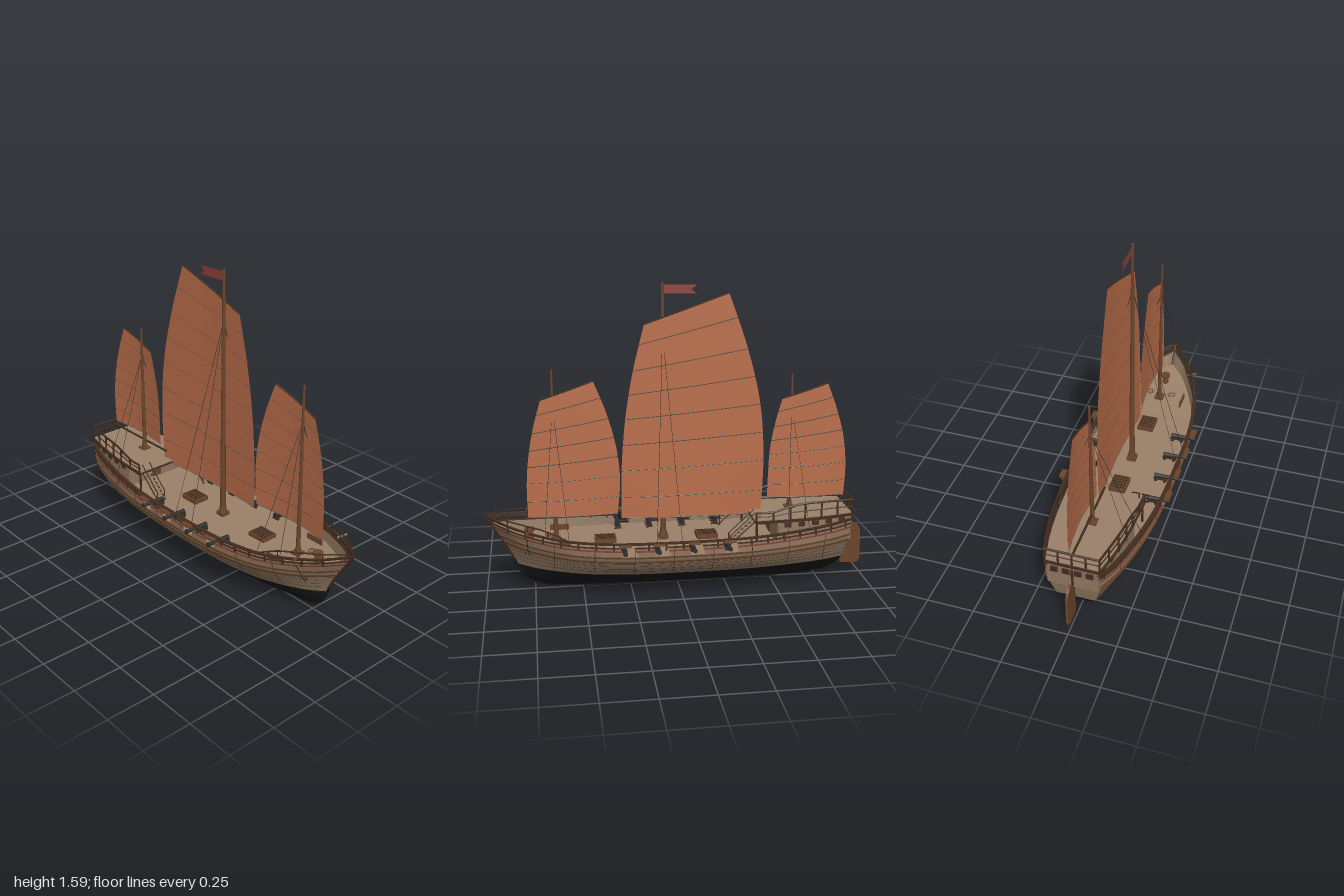
import * as THREE from 'three';

const mat = (name, color) => {
  const m = new THREE.MeshStandardMaterial({ color, side: THREE.DoubleSide });
  m.name = name;
  return m;
};
const V = (x, y, z) => new THREE.Vector3(x, y, z);

// Smooth interpolation through [t, value] pairs
function table(p) {
  const slope = i => {
    const a = p[Math.max(i - 1, 0)], b = p[Math.min(i + 1, p.length - 1)];
    return (b[1] - a[1]) / (b[0] - a[0]);
  };
  return t => {
    t = THREE.MathUtils.clamp(t, p[0][0], p[p.length - 1][0]);
    let i = 0;
    while (i < p.length - 2 && t > p[i + 1][0]) i++;
    const h = p[i + 1][0] - p[i][0], u = (t - p[i][0]) / h, w = 1 - u;
    return p[i][1] * w * w * (1 + 2 * u) + p[i + 1][1] * u * u * (3 - 2 * u)
      + h * u * w * (w * slope(i) - u * slope(i + 1));
  };
}

// Hull form: plan outline and sheer by z, then width and ends by height
const S = z => (z + 0.91) / 1.9;
const plan = table([[-0.91, 0.49], [-0.8, 0.66], [-0.6, 0.83], [-0.4, 0.94], [-0.2, 0.99], [0, 1], [0.2, 1],
  [0.4, 0.95], [0.6, 0.82], [0.7, 0.69], [0.8, 0.52], [0.9, 0.3], [0.99, 0]].map(([z, v]) => [S(z), v]));
const lift = table([[-0.91, 0.035], [-0.6, 0.012], [-0.3, 0.001], [0.2, 0], [0.4, 0.004], [0.6, 0.017],
  [0.8, 0.047], [0.99, 0.092]].map(([z, v]) => [S(z), v]));
const width = table([[0.01, 0], [0.02, 0.032], [0.03, 0.056], [0.06, 0.112], [0.1, 0.166], [0.13, 0.199],
  [0.19, 0.245], [0.25, 0.27], [0.32, 0.27]]);
const sternZ = table([[0.01, -0.54], [0.02, -0.66], [0.03, -0.72], [0.06, -0.8], [0.1, -0.85], [0.13, -0.87],
  [0.19, -0.885], [0.25, -0.9], [0.32, -0.91]]);
const bowZ = table([[0.01, 0.5], [0.02, 0.65], [0.03, 0.72], [0.06, 0.79], [0.1, 0.825], [0.13, 0.84],
  [0.19, 0.88], [0.25, 0.93], [0.32, 0.99]]);
const hullPoint = (s, y, side = 1, out = 0) => V(
  side * Math.max(0, width(y) * plan(s) + out),
  y + lift(s) * THREE.MathUtils.clamp((y - 0.08) / 0.24, 0, 1.2),
  THREE.MathUtils.lerp(sternZ(y), bowZ(y), s));
const atZ = (z, y, side = 1, out = 0) => hullPoint((z - sternZ(y)) / (bowZ(y) - sternZ(y)), y, side, out);

// Surface from a point rule fn(u, v)
function grid(nu, nv, fn, flat = false) {
  const pos = [], idx = [];
  for (let j = 0; j <= nv; j++) for (let i = 0; i <= nu; i++) pos.push(...fn(i / nu, j / nv).toArray());
  for (let j = 0; j < nv; j++) for (let i = 0; i < nu; i++) {
    const a = j * (nu + 1) + i, b = a + nu + 1;
    idx.push(a, a + 1, b, b, a + 1, b + 1);
  }
  let g = new THREE.BufferGeometry();
  g.setAttribute('position', new THREE.Float32BufferAttribute(pos, 3));
  g.setIndex(idx);
  if (flat) g = g.toNonIndexed();
  g.computeVertexNormals();
  return g;
}

export function createModel() {
  const root = new THREE.Group();
  const M = {
    hull: mat('hull wood', 0x8f7760), deck: mat('deck wood', 0x9a8069), trim: mat('dark trim', 0x432d1f),
    brown: mat('brown timber', 0x6b452b), black: mat('black bottom', 0x161616), sail: mat('sailcloth', 0xb96d4a),
    flag: mat('flag red', 0x90403a), iron: mat('iron', 0x2b2e2e), batten: mat('batten grey', 0x47524f),
    stripe: mat('red stripe', 0x84402f),
  };
  const add = (name, geo, m) => {
    const mesh = new THREE.Mesh(geo, m);
    mesh.name = name;
    root.add(mesh);
    return mesh;
  };
  const box = (name, w, h, d, x, y, z, m) => {
    const b = add(name, new THREE.BoxGeometry(w, h, d), m);
    b.position.set(x, y, z);
    return b;
  };
  // Round bar between two points
  const bar = (name, a, b, r, m, r2 = r, sides = 6) => {
    const c = add(name, new THREE.CylinderGeometry(r2, r, a.distanceTo(b), sides), m);
    c.position.copy(a).lerp(b, 0.5);
    c.quaternion.setFromUnitVectors(V(0, 1, 0), b.clone().sub(a).normalize());
    return c;
  };
  const tube = (name, pts, r, m, n = 40) =>
    add(name, new THREE.TubeGeometry(new THREE.CatmullRomCurve3(pts), n, r, 6), m);
  // Rectangular strake that follows the hull on both sides
  const band = (name, y0, y1, inner, outer, m, s0 = 0, s1 = 1, n = 56) => {
    const ring = [[y0, inner], [y0, outer], [y1, outer], [y1, inner], [y0, inner]];
    for (const side of [-1, 1]) add(name, grid(n, 4, (u, v) => {
      const [y, o] = ring[Math.round(v * 4)];
      return hullPoint(s0 + (s1 - s0) * u, y, side, o);
    }, true), m);
  };

  // Hull shell, transom, deck
  for (const side of [-1, 1]) {
    add('hullBottom', grid(64, 14, (u, v) => hullPoint(u, 0.01 + 0.118 * v, side)), M.black);
    add('hullSide', grid(64, 8, (u, v) => hullPoint(u, 0.128 + 0.12 * v, side)), M.hull);
  }
  const across = (y0, y1) => grid(2, 8, (u, v) => {
    const p = hullPoint(0, y0 + (y1 - y0) * v);
    p.x *= 2 * u - 1;
    return p;
  });
  add('transomBottom', across(0.01, 0.128), M.black);
  add('transom', across(0.128, 0.32), M.hull);
  add('mainDeck', grid(64, 2, (u, v) => hullPoint(u, 0.246).multiply(V(2 * v - 1, 1, 1))), M.deck);
  box('keel', 0.014, 0.01, 1.04, 0, 0.007, -0.02, M.black);
  const stem = [0.02, 0.04, 0.07, 0.1, 0.15, 0.2, 0.25, 0.29, 0.32].map(y => hullPoint(1, y));
  tube('stemLower', stem.slice(0, 5), 0.006, M.black);
  tube('stemPost', [...stem.slice(4), V(0, 0.43, 0.992)], 0.008, M.trim);

  // Wales, plank seams and cap rail
  for (const y of [0.15, 0.17, 0.19, 0.203]) band('plankSeam', y, y + 0.0013, -0.001, 0.001, M.trim);
  band('lowerWale', 0.213, 0.222, -0.003, 0.007, M.brown);
  band('upperWale', 0.24, 0.248, -0.003, 0.007, M.brown);
  band('capRail', 0.314, 0.322, -0.012, 0.008, M.trim);

  // Bulwark planks with gun ports left open
  const ports = [0.3, 0.13, -0.05, -0.23], half = 0.036;
  const edges = [-0.905, ...ports.slice().reverse().flatMap(z => [z - half, z + half]), 0.965];
  for (let i = 0; i < edges.length; i += 2) {
    const a = Math.max(0, S(edges[i])), b = i + 2 >= edges.length ? 1 : S(edges[i + 1]);
    band('bulwark', 0.248, 0.298, -0.006, 0, M.hull, a, b, 20);
    band('bulwarkStripe', 0.276, 0.283, -0.002, 0.004, M.stripe, a, b, 20);
    band('bulwarkEdge', 0.294, 0.299, -0.007, 0.004, M.trim, a, b, 20);
  }
  for (const side of [-1, 1]) {
    for (let z = -0.87; z < 0.93; z += 0.0875) {
      if (ports.some(p => Math.abs(p - z) < half)) continue;
      const p = atZ(z, 0.305, side, -0.003);
      box('bulwarkPost', 0.008, 0.04, 0.01, p.x, p.y - 0.005, z, M.trim);
    }
    for (let z = -0.75; z < 0.85; z += 0.2)
      tube('hullRib', [0.14, 0.18, 0.22, 0.25, 0.3].map(y => atZ(z, y, side, 0.001)), 0.0015, M.trim, 8);
    // Bow rail
    const rail = [0.58, 0.68, 0.78, 0.88, 0.96].map((z, i) => atZ(z, 0.315, side, -0.005).add(V(0, [0.005, 0.035, 0.038, 0.03, 0.02][i], 0)));
    tube('bowRail', rail, 0.004, M.trim);
    for (const p of rail.slice(1)) bar('bowRailPost', V(p.x, p.y - 0.04, p.z), p, 0.003, M.trim);
    // Cathead, anchor, rope coil and pin rack
    const c = atZ(0.77, 0.32, side);
    bar('cathead', V(c.x - side * 0.02, c.y, 0.765), V(c.x + side * 0.03, c.y + 0.01, 0.785), 0.007, M.brown);
    const k = atZ(0.78, 0.2, side, 0.012);
    bar('anchorShank', V(c.x + side * 0.015, c.y - 0.02, 0.785), k, 0.002, M.iron);
    const arm = add('anchorArms', new THREE.TorusGeometry(0.016, 0.003, 6, 12, Math.PI), M.iron);
    arm.position.copy(k).add(V(0, 0.014, 0));
    arm.rotation.set(Math.PI, Math.PI / 2, 0);
    for (const radius of [0.012, 0.022]) {
      const coil = add('ropeCoil', new THREE.TorusGeometry(radius, 0.002, 6, 16), M.brown);
      coil.position.set(side * 0.065, atZ(0.67, 0.246).y + 0.002, 0.67);
      coil.rotation.x = Math.PI / 2;
    }
    box('pinRack', 0.008, 0.03, 0.1, side * 0.14, 0.285, 0.615, M.brown);

    // Cannons on carriages, with raised port lids
    for (const z of ports) {
      box('carriage', 0.075, 0.01, 0.026, side * 0.2, 0.262, z, M.trim);
      for (const dx of [-0.025, 0.025]) {
        const w = add('carriageWheels', new THREE.CylinderGeometry(0.008, 0.008, 0.036, 10), M.trim);
        w.rotation.x = Math.PI / 2;
        w.position.set(side * (0.2 + dx), 0.255, z);
      }
      bar('cannonBarrel', V(side * 0.165, 0.275, z), V(side * 0.298, 0.28, z), 0.013, M.iron, 0.009, 12);
      bar('cannonMuzzle', V(side * 0.288, 0.2795, z), V(side * 0.3, 0.28, z), 0.012, M.iron, 0.012, 12);
      box('portLid', 0.036, 0.008, 0.062, side * 0.287, 0.317, z, M.brown).rotation.z = side * 0.12;
    }
  }

  // Quarterdeck, cabin, windows, railings and stairs
  const qw = table([[-0.91, 0.137], [-0.75, 0.172], [-0.6, 0.192], [-0.38, 0.205]]);
  const slab = (name, z0, z1, inset, top, depth, m) => {
    const pts = [];
    for (const side of [1, -1]) for (let i = 0; i <= 8; i++) {
      const z = side > 0 ? z0 + (z1 - z0) * i / 8 : z1 + (z0 - z1) * i / 8;
      pts.push(new THREE.Vector2(side * (qw(z) - inset), z));
    }
    const g = new THREE.ExtrudeGeometry(new THREE.Shape(pts), { depth, bevelEnabled: false });
    g.rotateX(Math.PI / 2);
    add(name, g, m).position.y = top;
  };
  slab('cabin', -0.905, -0.5, 0.01, 0.372, 0.13, M.hull);
  slab('quarterdeckBeam', -0.912, -0.376, -0.004, 0.386, 0.014, M.trim);
  slab('quarterdeckFloor', -0.905, -0.375, 0.004, 0.39, 0.006, M.deck);
  const railY = table([[-0.91, 0.46], [-0.75, 0.467], [-0.58, 0.462], [-0.5, 0.435], [-0.38, 0.432]]);
  for (const side of [-1, 1]) {
    const line = f => [-0.905, -0.82, -0.73, -0.64, -0.56, -0.47, -0.38].map(z => V(side * qw(z), 0.388 + (railY(z) - 0.388) * f, z));
    tube('quarterdeckRail', line(1), 0.006, M.trim);
    tube('quarterdeckMidRail', line(0.5), 0.003, M.trim);
    for (const p of line(1)) bar('railPost', V(p.x, 0.38, p.z), p, 0.005, M.trim);
    bar('deckSupport', V(side * 0.195, 0.25, -0.385), V(side * 0.195, 0.38, -0.385), 0.006, M.trim);
    for (let z = -0.85; z < -0.5; z += 0.075)
      box('cabinWindow', 0.006, 0.024, 0.035, side * (qw(z) - 0.009), 0.354, z, M.trim);
    for (const x of [0.03, 0.09]) box('sternWindow', 0.036, 0.03, 0.008, side * x, 0.345, -0.912, M.trim);
    for (let i = 0; i < 7; i++)
      box('stairTread', 0.05, 0.006, 0.014, side * 0.162, 0.37 - i * 0.017, -0.365 + i * 0.019, M.hull);
    for (const x of [0.138, 0.186]) {
      bar('stairSide', V(side * x, 0.38, -0.378), V(side * x, 0.255, -0.24), 0.004, M.trim);
      bar('stairRail', V(side * x, 0.43, -0.378), V(side * x, 0.31, -0.25), 0.003, M.trim);
      bar('stairPost', V(side * x, 0.255, -0.25), V(side * x, 0.31, -0.25), 0.003, M.trim);
    }
  }
  bar('sternRail', V(-0.137, 0.46, -0.905), V(0.137, 0.46, -0.905), 0.006, M.trim);
  bar('sternMidRail', V(-0.137, 0.424, -0.905), V(0.137, 0.424, -0.905), 0.003, M.trim);
  for (const x of [-0.07, 0, 0.07]) bar('sternRailPost', V(x, 0.385, -0.905), V(x, 0.46, -0.905), 0.005, M.trim);
  bar('mizzenBoom', V(0, 0.445, -0.89), V(0, 0.445, -0.4), 0.006, M.trim);
  slab('cabinFront', -0.5, -0.496, 0.015, 0.372, 0.12, M.hull);
  box('cabinDoor', 0.06, 0.1, 0.006, 0, 0.31, -0.494, M.brown);

  // Rudder
  const r = new THREE.Shape();
  r.moveTo(-0.89, 0.06).lineTo(-0.975, 0.055).quadraticCurveTo(-1, 0.06, -1, 0.09).lineTo(-0.998, 0.24)
    .quadraticCurveTo(-0.985, 0.285, -0.94, 0.29).quadraticCurveTo(-0.91, 0.27, -0.89, 0.17).closePath();
  const rudder = new THREE.ExtrudeGeometry(r, { depth: 0.012, bevelEnabled: false });
  rudder.rotateY(-Math.PI / 2);
  add('rudder', rudder, M.brown).position.x = 0.006;
  bar('rudderStock', V(0, 0.1, -0.888), V(0, 0.36, -0.91), 0.007, M.trim);

  // Deck hatches and capstan
  for (const z of [-0.155, 0.38]) {
    box('hatchCoaming', 0.09, 0.024, 0.11, 0, 0.258, z, M.brown);
    for (let i = -2; i <= 2; i++) {
      box('hatchGrate', 0.08, 0.004, 0.005, 0, 0.271, z + i * 0.02, M.trim);
      box('hatchGrate', 0.005, 0.004, 0.1, i * 0.016, 0.271, z, M.trim);
    }
  }
  bar('capstan', V(0, 0.275, 0.77), V(0, 0.325, 0.77), 0.02, M.brown, 0.015, 12);
  bar('capstanHead', V(0, 0.325, 0.77), V(0, 0.337, 0.77), 0.027, M.brown, 0.027, 12);

  // Masts, shrouds and sails; each sail edge runs from foot to head as [z, y]
  const rigs = [
    { z: 0.075, base: 0.25, top: 1.59, r: 0.016, hound: 1.33, spread: 0.065, n: 8,
      luff: [[0.295, 0.375], [0.292, 0.63], [0.27, 0.9], [0.228, 1.15], [0.17, 1.385]],
      leech: [[-0.44, 0.37], [-0.452, 0.66], [-0.43, 0.96], [-0.36, 1.25], [-0.26, 1.535]] },
    { z: 0.635, base: 0.26, top: 1.165, r: 0.012, hound: 0.98, spread: 0.06, n: 7,
      luff: [[0.775, 0.402], [0.777, 0.56], [0.765, 0.71], [0.737, 0.865], [0.695, 1.015]],
      leech: [[0.315, 0.402], [0.3, 0.58], [0.318, 0.76], [0.364, 0.935], [0.43, 1.105]] },
    { z: -0.6, base: 0.38, top: 1.11, r: 0.012, hound: 0.95, spread: 0.06, n: 7,
      luff: [[-0.475, 0.455], [-0.478, 0.59], [-0.486, 0.725], [-0.51, 0.855], [-0.545, 0.985]],
      leech: [[-0.89, 0.455], [-0.896, 0.61], [-0.88, 0.765], [-0.84, 0.915], [-0.785, 1.06]] },
  ];
  for (const g of rigs) {
    bar('mast', V(0, g.base, g.z), V(0, g.top, g.z), g.r, M.brown, g.r * 0.45, 12);
    box('mastStep', 0.05, 0.02, 0.05, 0, g.base + 0.008, g.z, M.brown);
    bar('mastCollar', V(0, g.base, g.z), V(0, g.base + 0.045, g.z), g.r * 1.5, M.brown, g.r * 1.1, 12);
    for (const side of [-1, 1]) for (const d of [-1, 1])
      bar('shroud', V(0, g.hound, g.z), atZ(g.z + d * g.spread, 0.318, side), 0.0012, M.iron, 0.0012, 4);
    const edge = a => new THREE.SplineCurve(a.map(p => new THREE.Vector2(...p)));
    const L = edge(g.luff), R = edge(g.leech);
    const at = (u, t, x = 0) => {
      const p = L.getPoint(t).lerp(R.getPoint(t), u);
      return V(0.018 + 0.018 * (1 - 0.6 * t) * Math.sin(Math.PI * u) + x, p.y, p.x);
    };
    add('sail', grid(20, 24, (u, t) => at(u, t)), M.sail);
    for (let i = 0; i <= g.n; i++) {
      const yard = i === g.n, pts = [0, 0.25, 0.5, 0.75, 1].map(u => at(u, i / g.n, yard ? 0 : 0.0015));
      tube(yard ? 'sailYard' : 'sailBatten', pts, yard ? 0.0035 : 0.002, yard ? M.trim : M.batten, 20);
    }
  }

  // Swallow-tailed flag
  const f = new THREE.Shape([[0.075, 1.535], [-0.1, 1.53], [-0.072, 1.553], [-0.1, 1.575], [0.075, 1.58]]
    .map(p => new THREE.Vector2(...p)));
  add('flag', new THREE.ShapeGeometry(f).rotateY(-Math.PI / 2), M.flag);
  return root;
}
